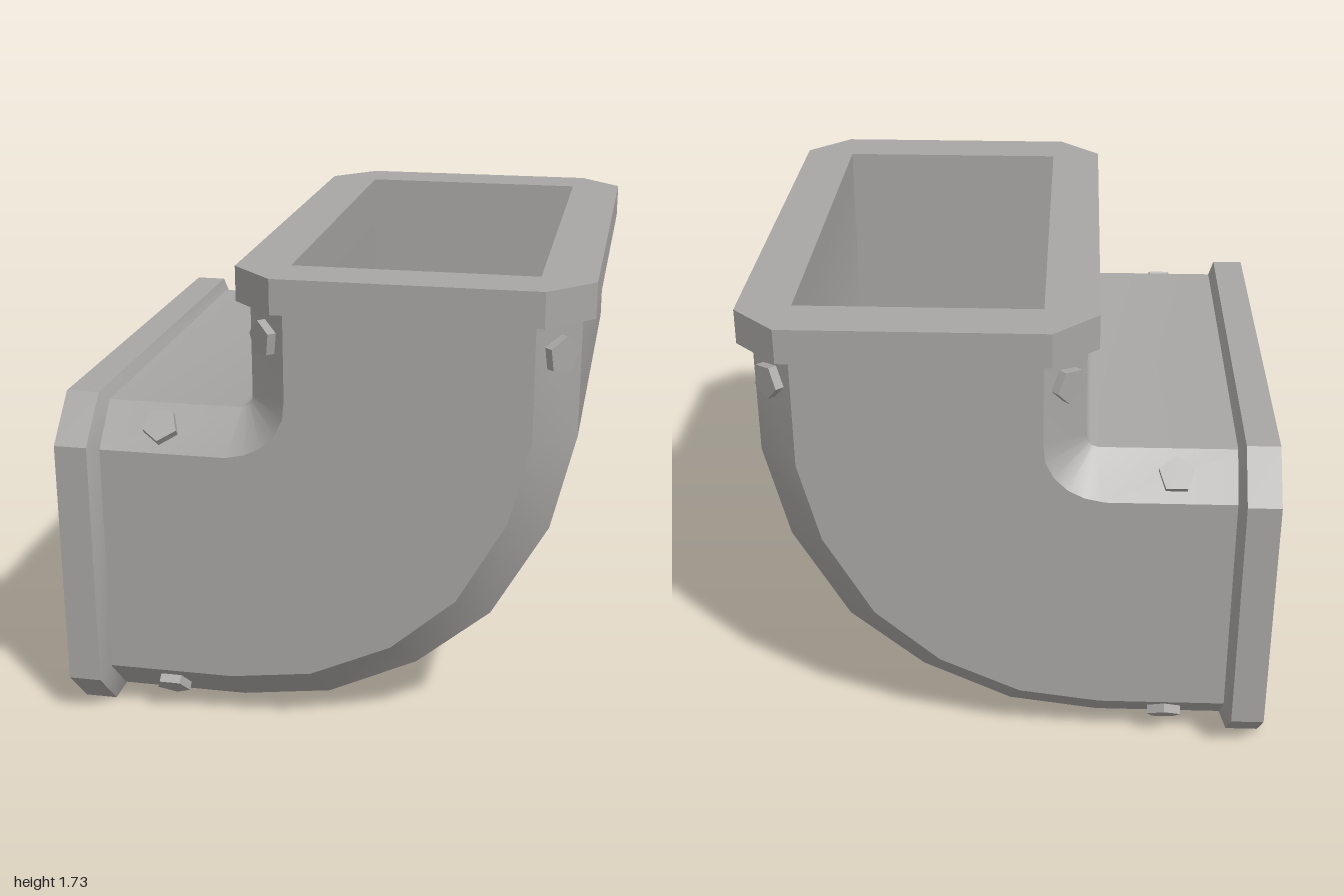
import * as THREE from 'three';
import { toCreasedNormals } from 'three/addons/utils/BufferGeometryUtils.js';

const grey = new THREE.MeshStandardMaterial({ color: 0xa8a6a4 });
grey.name = 'duct grey';

// Skins a list of closed cross-sections (arrays of [x, y, z])
function loft(rings) {
  const pos = [];
  for (let i = 0; i < rings.length - 1; i++) {
    const n = rings[i].length;
    for (let j = 0; j < n; j++) {
      const k = (j + 1) % n;
      const a = rings[i][j], b = rings[i][k], c = rings[i + 1][k], d = rings[i + 1][j];
      pos.push(...a, ...d, ...c, ...a, ...c, ...b);
    }
  }
  const g = new THREE.BufferGeometry();
  g.setAttribute('position', new THREE.Float32BufferAttribute(pos, 3));
  return toCreasedNormals(g, 0.5);
}

// Chamfered rectangular frame with a rectangular opening, centred on (cx, cy)
function frameGeometry(cx, cy, w, h, hw, hh, cut, depth) {
  const shape = new THREE.Shape([
    [-w + cut, -h], [w - cut, -h], [w, -h + cut], [w, h - cut],
    [w - cut, h], [-w + cut, h], [-w, h - cut], [-w, -h + cut],
  ].map(([x, y]) => new THREE.Vector2(cx + x, cy + y)));
  shape.holes.push(new THREE.Path(
    [[-hw, -hh], [-hw, hh], [hw, hh], [hw, -hh]].map(([x, y]) => new THREE.Vector2(cx + x, cy + y))));
  return new THREE.ExtrudeGeometry(shape, { depth, bevelEnabled: false });
}

export function createModel() {
  const model = new THREE.Group();
  const add = (name, geometry) => {
    const mesh = new THREE.Mesh(geometry, grey);
    mesh.name = name;
    model.add(mesh);
    return mesh;
  };

  // Elbow shell: outer bend, its chamfer edge, inner chamfer edge, inner bend
  const outer = [[-0.82, 0.045], [-0.32, 0.045], [0.01, 0.09], [0.34, 0.245],
    [0.61, 0.47], [0.81, 0.82], [0.895, 1.17], [0.895, 1.61]];
  const outerEdge = [[-0.82, 0.19], [-0.33, 0.19], [-0.03, 0.23], [0.265, 0.365],
    [0.5, 0.57], [0.675, 0.88], [0.75, 1.18], [0.75, 1.61]];
  const innerEdge = [[-0.82, 1.055], [-0.33, 1.055], [-0.26, 1.07], [-0.2, 1.1],
    [-0.15, 1.15], [-0.12, 1.21], [-0.113, 1.28], [-0.113, 1.61]];
  const inner = [[-0.82, 1.2], [-0.305, 1.2], [-0.29, 1.204], [-0.277, 1.211],
    [-0.267, 1.222], [-0.261, 1.236], [-0.26, 1.25], [-0.26, 1.61]];
  const Z = 0.935, ZC = 0.795;
  add('elbowShell', loft(outer.map((o, i) => {
    const p = outerEdge[i], q = innerEdge[i], r = inner[i];
    return [[...o, ZC], [...p, Z], [...q, Z], [...r, ZC],
      [...r, -ZC], [...q, -Z], [...p, -Z], [...o, -ZC]];
  })));

  // Rectangular passage inside, with a coarser outer bend
  const floor = [[-0.82, 0.19], [-0.3, 0.19], [-0.1, 0.19], [0.2, 0.313],
    [0.5, 0.437], [0.63, 0.75], [0.75, 1.05], [0.75, 1.605]];
  add('innerPassage', loft(floor.map((f, i) => {
    const q = innerEdge[i];
    return [[...f, -0.8], [...q, -0.8], [...q, 0.8], [...f, 0.8]];
  })));

  // End flanges
  const side = add('sideFlange', frameGeometry(0, 0.62, 1, 0.62, 0.8, 0.43, 0.158, 0.12));
  side.rotation.y = Math.PI / 2;
  side.position.x = -0.94;
  const top = add('topFlange', frameGeometry(0.32, 0, 0.62, 1, 0.43, 0.8, 0.158, 0.125));
  top.rotation.x = Math.PI / 2;
  top.position.y = 1.73;

  // Tapered collar behind the side flange
  const collarRing = (x, h, w, cut) => [
    [x, 0.62 - h, w - cut], [x, 0.62 - h + cut, w], [x, 0.62 + h - cut, w], [x, 0.62 + h, w - cut],
    [x, 0.62 + h, cut - w], [x, 0.62 + h - cut, -w], [x, 0.62 - h + cut, -w], [x, 0.62 - h, cut - w]];
  add('sideCollar', loft([collarRing(-0.82, 0.62, 1, 0.158), collarRing(-0.795, 0.577, 0.935, 0.142)]));

  // Five-sided bolts on the chamfers: position and outward direction in x, y
  const bolts = [[-0.58, 1.127, 0, 1], [-0.575, 0.117, 0, -1], [-0.187, 1.485, -1, 0], [0.823, 1.485, 1, 0]];
  const boltGeometry = new THREE.CylinderGeometry(0.066, 0.066, 0.06, 5).toNonIndexed();
  boltGeometry.computeVertexNormals();
  for (const s of [1, -1]) {
    for (const [x, y, nx, ny] of bolts) {
      const bolt = add('bolt', boltGeometry);
      bolt.position.set(x, y, s * 0.867);
      bolt.quaternion.setFromUnitVectors(
        new THREE.Vector3(0, 1, 0), new THREE.Vector3(nx, ny, s).normalize());
    }
  }
  return model;
}
